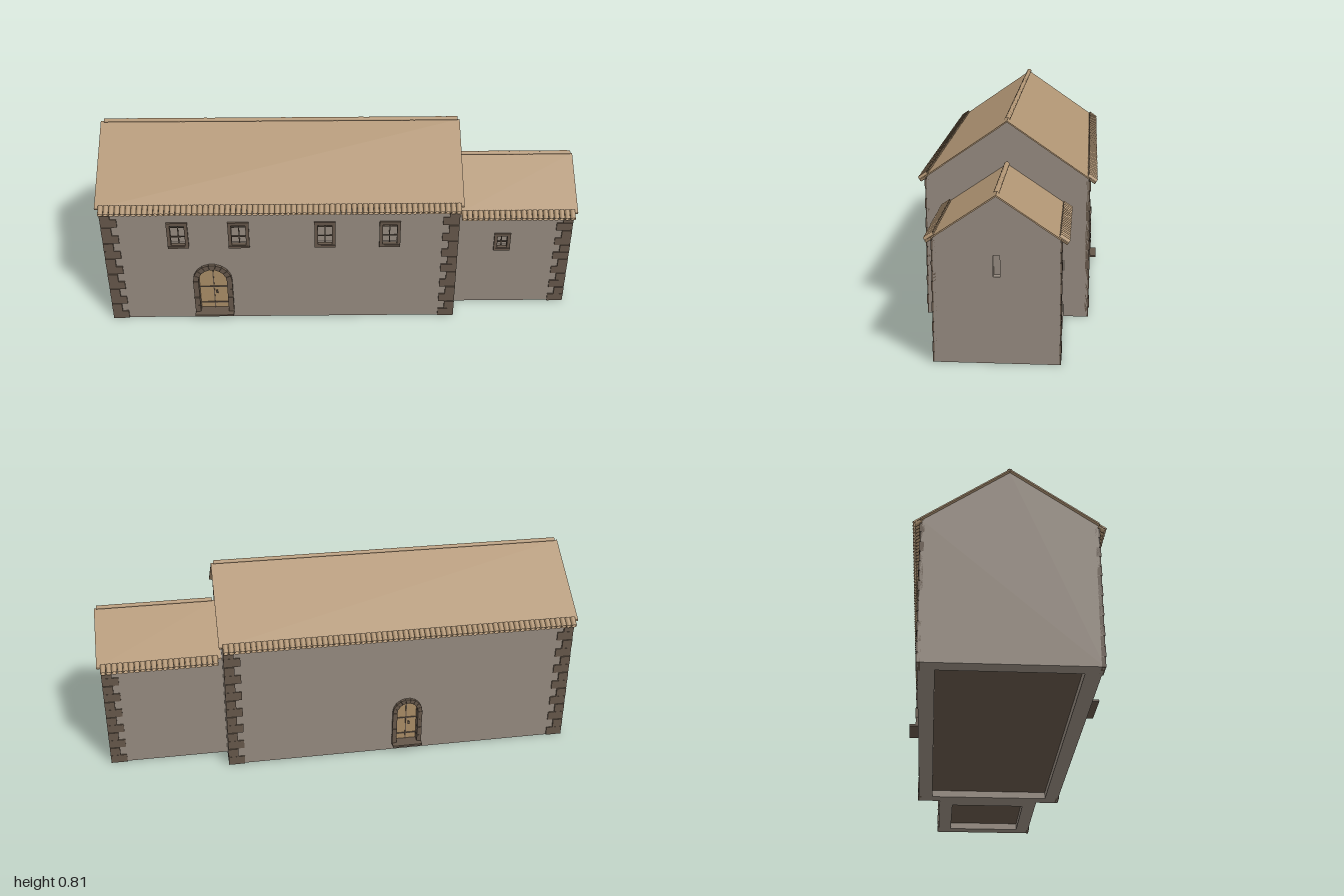
import * as THREE from 'three';
import { mergeGeometries } from 'three/addons/utils/BufferGeometryUtils.js';

const mat = (name, color, side = THREE.FrontSide) => {
  const m = new THREE.MeshStandardMaterial({ color, side });
  m.name = name;
  return m;
};

export function createModel() {
  const plaster = mat('plaster', 0x958a7f);
  const stone = mat('darkStone', 0x65574a);
  const tile = mat('roofTile', 0xb09473, THREE.DoubleSide);
  const wood = mat('doorWood', 0xa98c66);
  const T = 0.06; // wall thickness
  const model = new THREE.Group();
  model.name = 'chapel';

  const add = (parent, name, geos, material) => {
    const list = [].concat(geos).map(g => (g.index ? g.toNonIndexed() : g));
    const m = new THREE.Mesh(list.length > 1 ? mergeGeometries(list) : list[0], material);
    m.name = name;
    parent.add(m);
    return m;
  };
  // box from its min and max corners
  const box = (x0, x1, y0, y1, z0, z1) =>
    new THREE.BoxGeometry(x1 - x0, y1 - y0, z1 - z0).translate((x0 + x1) / 2, (y0 + y1) / 2, (z0 + z1) / 2);
  const poly = pts => new THREE.Shape(pts.map(p => new THREE.Vector2(...p)));
  const rect = (x0, x1, y0, y1) => poly([[x0, y0], [x1, y0], [x1, y1], [x0, y1]]);
  const extrude = (shape, depth, z) =>
    new THREE.ExtrudeGeometry(shape, { depth, bevelEnabled: false, curveSegments: 16 }).translate(0, 0, z);
  const archShape = (cx, r, y0, spring) => {
    const s = new THREE.Shape();
    s.moveTo(cx - r, y0);
    s.lineTo(cx + r, y0);
    s.lineTo(cx + r, spring);
    s.absarc(cx, spring, r, 0, Math.PI, false);
    s.lineTo(cx - r, y0);
    return s;
  };

  // Framed window with a recessed pane and bars
  function addWindow(side, W, [x0, x1, y0, y1]) {
    const g = new THREE.Group();
    g.name = 'window';
    side.add(g);
    const f = 0.014, frame = rect(x0, x1, y0, y1);
    frame.holes.push(rect(x0 + f, x1 - f, y0 + f, y1 - f));
    add(g, 'windowFrame', extrude(frame, 0.018, W - 0.01), stone);
    add(g, 'windowSill', box(x0, x1, y0, y0 + 0.01, W, W + 0.011), stone);
    add(g, 'windowPane', box(x0, x1, y0, y1, W - 0.035, W - 0.03), plaster);
    const cx = (x0 + x1) / 2, bars = [box(cx - 0.002, cx + 0.002, y0, y1, W - 0.02, W - 0.016)];
    for (const t of [0.33, 0.7]) {
      const y = y0 + (y1 - y0) * t;
      bars.push(box(x0, x1, y - 0.002, y + 0.002, W - 0.02, W - 0.016));
    }
    add(g, 'windowBars', bars, stone);
  }

  // Arched double door with stone surround and step
  function addDoor(side, W, { cx, r, R, y0, spring }) {
    const g = new THREE.Group();
    g.name = 'door';
    side.add(g);
    add(g, 'doorLeaf', extrude(archShape(cx, r + 0.005, y0, spring), 0.01, W - 0.03), wood);
    const z = W - 0.02, blocks = [], n = 9, jambs = 4;
    for (let i = 0; i < n; i++) {
      const a = (Math.PI * i) / n, b = (Math.PI * (i + 1)) / n - 0.02;
      const p = (rad, t) => [cx + rad * Math.cos(t), spring + rad * Math.sin(t)];
      blocks.push(extrude(poly([p(r, a), p(R, a), p(R, b), p(r, b)]), 0.033, z));
    }
    const h = (spring - y0) / jambs;
    for (let i = 0; i < jambs; i++) for (const s of [-1, 1]) {
      const xa = cx + s * r, xb = cx + s * R, y = y0 + i * h;
      blocks.push(box(Math.min(xa, xb), Math.max(xa, xb), y, y + h - 0.002, z, W + 0.011 + (i % 2) * 0.002));
    }
    add(g, 'doorSurround', blocks, stone);
    const d = W - 0.02, mid = (y0 + spring) / 2 + 0.035;
    add(g, 'doorIronwork', [
      box(cx - 0.002, cx + 0.002, y0, spring + r, d, d + 0.004),
      box(cx - r, cx + r, mid - 0.002, mid + 0.002, d, d + 0.004),
      box(cx - r, cx + r, y0 + 0.034, y0 + 0.038, d, d + 0.004),
      box(cx + 0.008, cx + 0.016, mid - 0.034, mid - 0.02, d, d + 0.006),
    ], stone);
    add(g, 'doorStep', box(cx - R, cx + R, y0, y0 + 0.008, W - 0.03, W + 0.036), stone);
  }

  // Row of half-round tiles along an eave facing +z
  function addEave(side, x0, x1, y, W, slope) {
    const caps = [], pitch = 0.0225, n = Math.round((x1 - x0) / pitch), step = (x1 - x0) / n;
    const half = (x, start, dy) => new THREE.CylinderGeometry(0.011, 0.011, 0.04, 6, 1, true, start, Math.PI)
      .rotateX(Math.PI / 2 + slope).translate(x, y + dy, W + 0.011);
    for (let i = 0; i < n; i++) {
      const x = x0 + (i + 0.5) * step;
      caps.push(half(x, Math.PI / 2, 0));
      caps.push(half(x, -Math.PI / 2, -0.001));
    }
    add(side, 'eaveTiles', caps, tile);
  }

  // One gabled hall: walls, quoins, openings, roof
  function addHall(name, o) {
    const { x0, x1, W, eave, ridge } = o;
    const hall = new THREE.Group();
    hall.name = name;
    model.add(hall);
    const slope = Math.atan2(ridge - eave, W);

    for (const [i, x] of [x0, x1 - T].entries()) {
      const s = poly([[-W, 0], [W, 0], [W, eave], [0, ridge], [-W, eave]]);
      if (i && o.slit) {
        s.holes.push(rect(...o.slit));
        add(hall, 'slitPane', box(x + 0.025, x + 0.03, o.slit[2], o.slit[3], -0.013, 0.013), plaster);
      }
      add(hall, 'gableWall', extrude(s, T, 0).rotateY(Math.PI / 2).translate(x, 0, 0), plaster);
    }
    add(hall, 'floor', box(x0 + T, x1 - T, 0.03, 0.04, T - W, W - T), stone);

    for (const f of [1, -1]) {
      const side = new THREE.Group();
      side.name = f > 0 ? 'frontSide' : 'backSide';
      side.rotation.y = f > 0 ? 0 : Math.PI;
      hall.add(side);
      // local x runs the other way on the back
      const a = f > 0 ? x0 : -x1, b = f > 0 ? x1 : -x0;
      const wall = rect(a + T, b - T, 0, eave);
      const windows = f > 0 ? o.windows : [], door = f > 0 ? o.frontDoor : o.backDoor;
      for (const [wx0, wx1, wy0, wy1] of windows)
        wall.holes.push(rect(wx0 + 0.005, wx1 - 0.005, wy0 + 0.005, wy1 - 0.005));
      if (door) wall.holes.push(archShape(door.cx, door.r + 0.004, door.y0, door.spring));
      add(side, 'sideWall', extrude(wall, T, W - T), plaster);
      windows.forEach(w => addWindow(side, W, w));
      if (door) addDoor(side, W, door);

      // corner stones, alternately long and short
      const stones = [], n = o.quoins, h = (eave - 0.01) / n;
      for (let i = 0; i < n; i++) {
        const len = i % 2 ? 0.042 : 0.068, y = i * h;
        for (const end of o.quoinEnds) {
          const left = end * f < 0;
          stones.push(box(left ? a : b - len, left ? a + len : b, y, y + h - 0.002, W - 0.01, W + 0.005 + (i % 2) * 0.002));
        }
      }
      add(side, 'quoins', stones, stone);

      // roof slope and eave
      const ra = f > 0 ? o.roof[0] : -o.roof[1], rb = f > 0 ? o.roof[1] : -o.roof[0];
      const slab = poly([[0, ridge], [W + 0.004, eave - 0.003], [W + 0.004, eave + 0.003], [0, ridge + 0.006]]);
      add(side, 'roofSlope', extrude(slab, rb - ra, 0).rotateY(-Math.PI / 2).translate(rb, 0, 0), tile);
      addEave(side, ra + 0.015, rb - 0.012, eave - 0.002, W, slope);
    }

    // overlapping half-round ridge tiles
    const ridgeTiles = [], n = Math.round((o.roof[1] - o.roof[0]) / 0.047);
    const ra = o.roof[0] + 0.015, step = (o.roof[1] - 0.01 - ra) / n;
    for (let i = 0; i < n; i++)
      ridgeTiles.push(new THREE.CylinderGeometry(0.011, 0.0105, step, 8, 1, true, 0, Math.PI)
        .rotateZ(Math.PI / 2).translate(ra + (i + 0.5) * step, ridge + 0.007, 0));
    add(hall, 'ridgeTiles', ridgeTiles, tile);
  }

  addHall('nave', {
    x0: -0.985, x1: 0.49, W: 0.32, eave: 0.57, ridge: 0.791, roof: [-1, 0.505],
    quoins: 14, quoinEnds: [-1, 1],
    windows: [-0.717, -0.465, -0.108, 0.161].map(x => [x, x + 0.087, 0.375, 0.5]),
    frontDoor: { cx: -0.543, r: 0.06, R: 0.083, y0: 0.03, spring: 0.203 },
    backDoor: { cx: 0.28, r: 0.045, R: 0.064, y0: 0.03, spring: 0.19 },
  });
  addHall('chancel', {
    x0: 0.49, x1: 0.985, W: 0.225, eave: 0.468, ridge: 0.62, roof: [0.495, 1],
    quoins: 12, quoinEnds: [1], slit: [-0.012, 0.012, 0.325, 0.405],
    windows: [[0.657, 0.727, 0.282, 0.367]],
  });
  return model;
}
